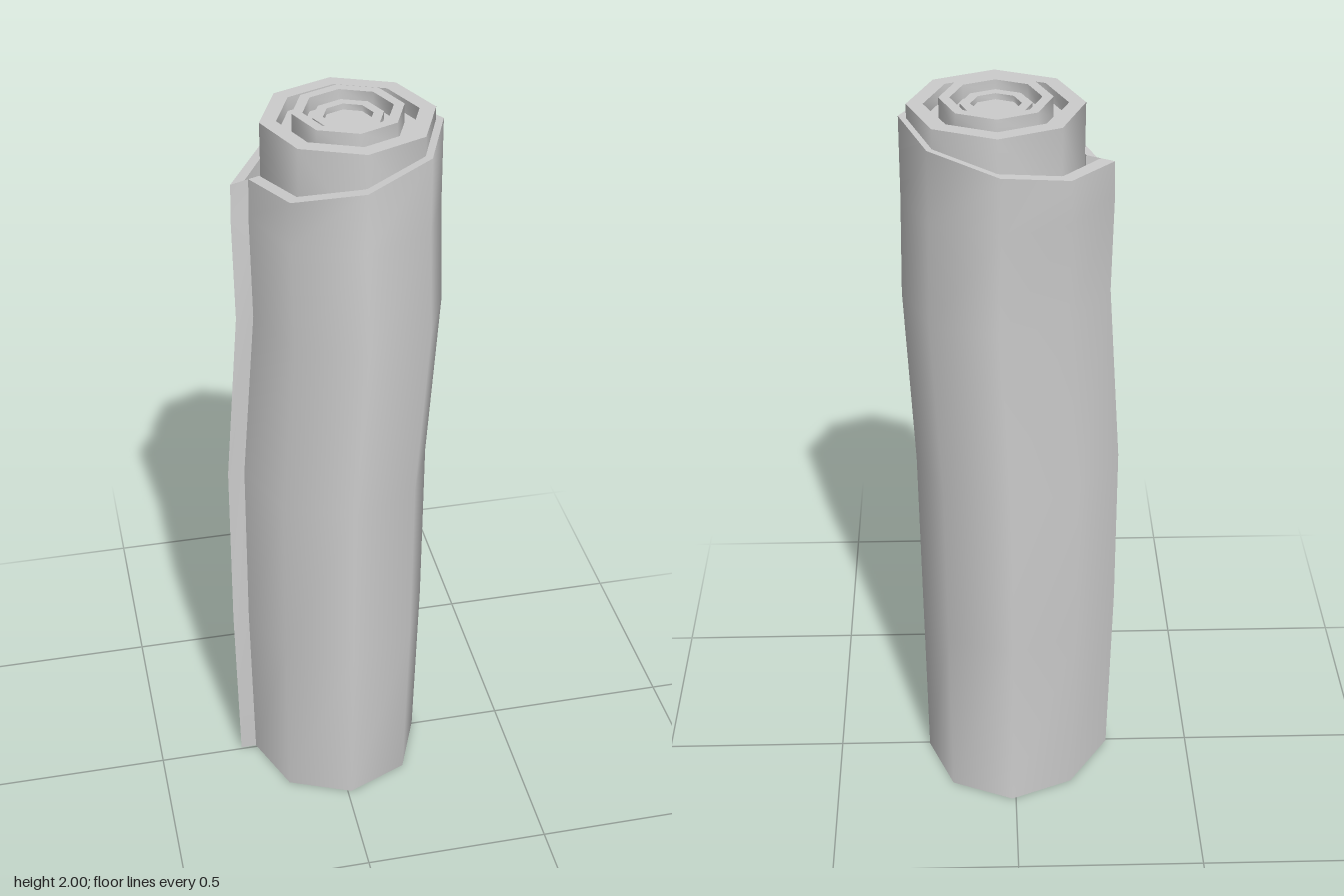
import * as THREE from 'three';
import { toCreasedNormals } from 'three/addons/utils/BufferGeometryUtils.js';

// Spine of the bent log: height, centre x, centre z, radius
const SPINE = [
  [0, 0.01, -0.005, 0.235],
  [0.52, 0.008, 0.01, 0.243],
  [1.0, 0.012, -0.005, 0.243],
  [1.48, 0.04, 0.012, 0.238],
  [1.75, 0.036, -0.004, 0.236],
  [1.9, 0.037, -0.008, 0.234],
];
const SIDES = 8;
const FLAP = 0.043; // how far the loose end of the bark stands out

// One turn of bark: starts tight at -x, passes the front, ends loose at -x
function barkRing([y, cx, cz, r], slant = 0, inset = 0, flapInset = inset) {
  const ring = [];
  for (let i = 0; i <= SIDES; i++) {
    const a = Math.PI - (i / SIDES) * Math.PI * 2;
    const rad = i === SIDES ? r + FLAP - flapInset : r - inset;
    const x = Math.cos(a) * rad, z = Math.sin(a) * rad;
    ring.push([cx + x, y + (slant * x) / r, cz + z]);
  }
  return ring;
}

// Joins the rings with quads and closes both ends with fans
function loft(rings, bottom, top) {
  const pos = [];
  const tri = (a, b, c) => pos.push(...a, ...b, ...c);
  const n = rings[0].length;
  for (let i = 0; i < n; i++) {
    const j = (i + 1) % n;
    for (let k = 0; k < rings.length - 1; k++) {
      const lo = rings[k], hi = rings[k + 1];
      tri(lo[i], lo[j], hi[j]);
      tri(lo[i], hi[j], hi[i]);
    }
    tri(bottom, rings[0][j], rings[0][i]);
    const last = rings[rings.length - 1];
    tri(top, last[i], last[j]);
  }
  const geo = new THREE.BufferGeometry();
  geo.setAttribute('position', new THREE.Float32BufferAttribute(pos, 3));
  return toCreasedNormals(geo, 0.95);
}

export function createModel() {
  const group = new THREE.Group();
  group.name = 'log';
  const material = new THREE.MeshStandardMaterial({ color: 0xcccccc });
  const add = (name, geometry) => {
    const mesh = new THREE.Mesh(geometry, material);
    mesh.name = name;
    group.add(mesh);
    return mesh;
  };

  // Bark with a slanted top rim and a narrow pocket behind the loose end
  const rim = SPINE[SPINE.length - 1];
  const floor = [1.78, ...rim.slice(1)];
  const rings = SPINE.map((s) => barkRing(s, s === rim ? 0.055 : 0));
  rings.push(barkRing(rim, 0.055, 0.026, 0.034));
  rings.push(barkRing(floor, 0, 0.026, 0.034));
  add('bark', loft(rings, [SPINE[0][1], 0, SPINE[0][2]], [floor[1], floor[0], floor[2]]));

  // Heartwood with stepped growth rings: radius, height
  const profile = [
    [0.21, 1.77], [0.21, 1.985], [0.17, 1.985], [0.17, 1.95],
    [0.134, 1.95], [0.134, 2.0], [0.108, 2.0], [0.108, 1.965],
    [0.085, 1.965], [0.085, 1.985], [0.06, 1.985], [0.06, 1.97], [0, 1.97],
  ].map(([r, y]) => new THREE.Vector2(r, y));
  const core = add('heartwood', toCreasedNormals(new THREE.LatheGeometry(profile, SIDES), 0.95));
  core.position.set(0.042, 0, -0.01);

  return group;
}
